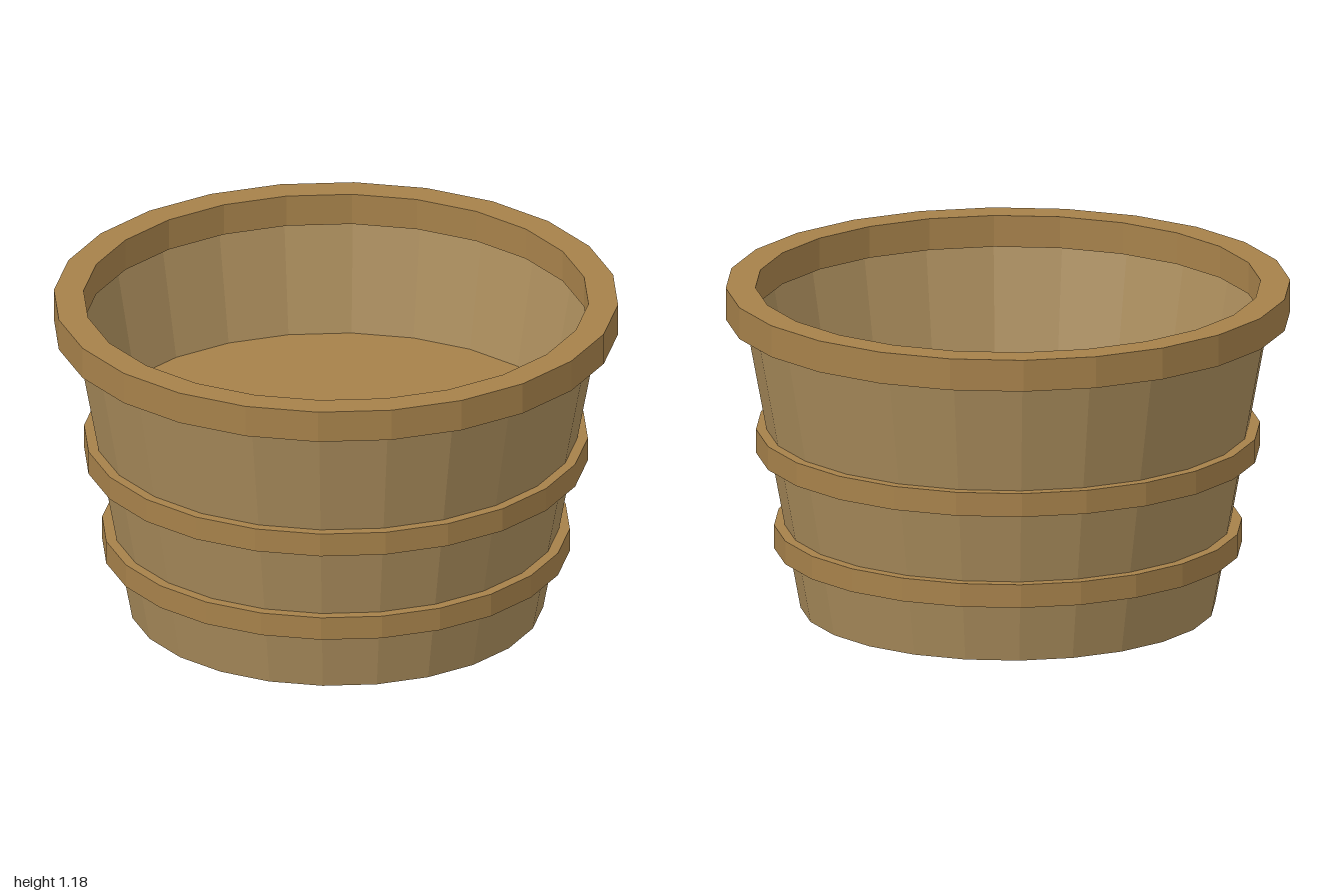
import * as THREE from 'three';

const SIDES = 24;

export function createModel() {
  const tub = new THREE.Group();
  tub.name = 'tub';

  const wood = new THREE.MeshStandardMaterial({ color: 0xab8d5c, flatShading: true, side: THREE.DoubleSide });
  const trim = new THREE.MeshStandardMaterial({ color: 0xa6814a, flatShading: true });

  const add = (name, geometry, material, y = 0) => {
    const mesh = new THREE.Mesh(geometry, material);
    mesh.name = name;
    mesh.position.y = y;
    tub.add(mesh);
  };
  const lathe = (points) =>
    new THREE.LatheGeometry(points.map(([r, y]) => new THREE.Vector2(r, y)), SIDES);

  // Thin flared wall with a closed base
  add('wall', lathe([[0, 0], [0.735, 0], [0.941, 1.12]]), wood);

  // Square-section rim, overhanging the wall on both sides
  add('rim', lathe([[0.895, 1.063], [1, 1.063], [1, 1.178], [0.895, 1.178], [0.895, 1.063]]), trim);

  // Solid hoops; the top of the upper one is the floor inside the tub
  const hoops = [
    ['lowerHoop', 0.829, 0.22, 0.305],
    ['upperHoopAndFloor', 0.893, 0.572, 0.658],
  ];
  for (const [name, r, y0, y1] of hoops) {
    add(name, new THREE.CylinderGeometry(r, r, y1 - y0, SIDES), trim, (y0 + y1) / 2);
  }
  return tub;
}
